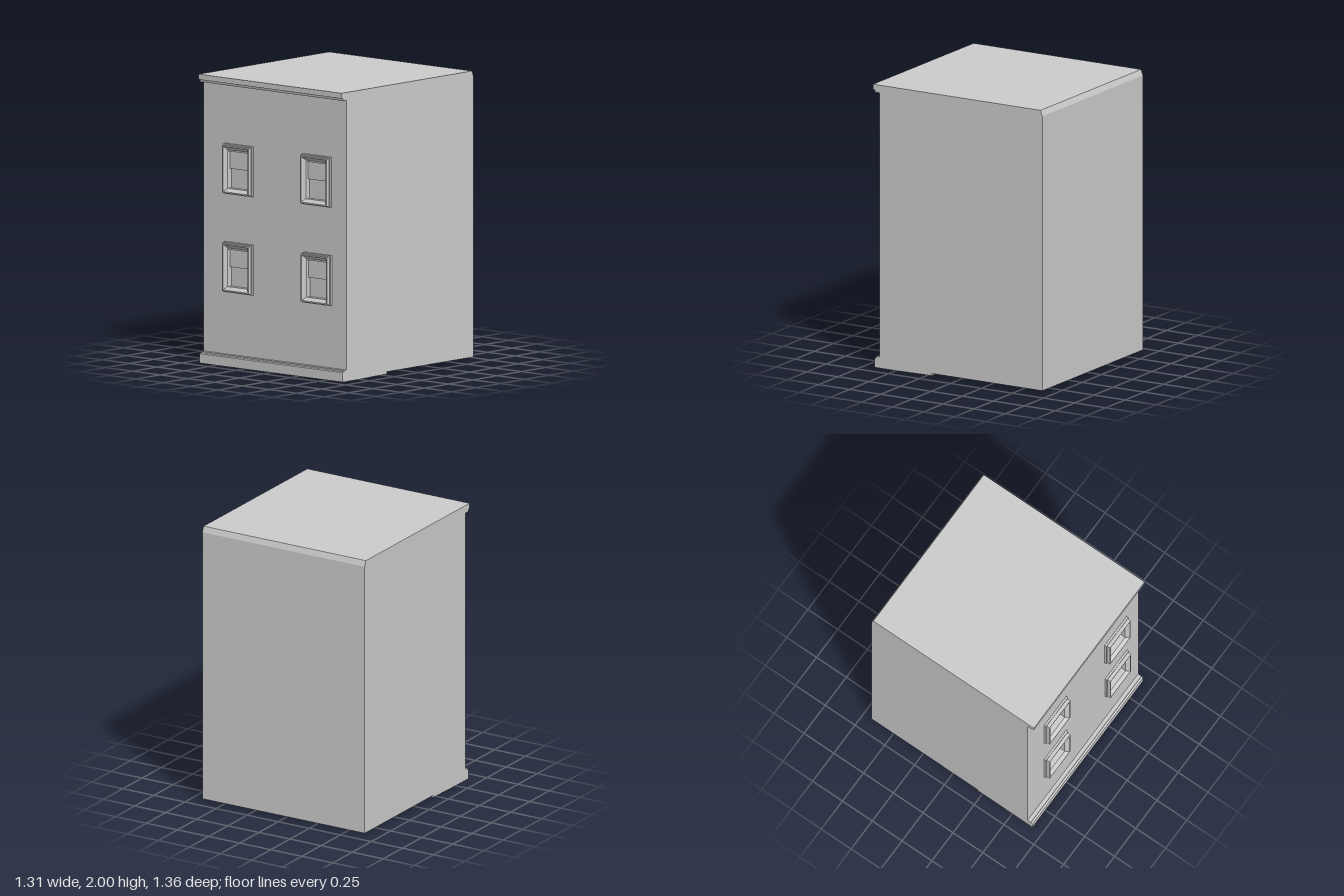
import * as THREE from 'three';

const W = 0.653;      // half width
const FRONT = 0.63;   // front wall plane
const BACK = -0.68;   // back wall plane
const mat = new THREE.MeshStandardMaterial({ color: 0xcccccc, flatShading: true, side: THREE.DoubleSide });

const shapeOf = pts => new THREE.Shape(pts.map(p => new THREE.Vector2(p[0], p[1])));

function add(parent, geo, name) {
  const mesh = new THREE.Mesh(geo, mat);
  mesh.name = name;
  parent.add(mesh);
  return mesh;
}

// solid with a constant (z, y) profile running across the full width
function acrossWidth(pts) {
  return new THREE.ExtrudeGeometry(shapeOf(pts), { depth: 2 * W, bevelEnabled: false })
    .translate(0, 0, -W)
    .rotateY(-Math.PI / 2);
}

// mitred rectangular moulding: profile is a list of [inset, z]
function frameRing(w, h, profile) {
  const pos = [], idx = [];
  for (const [inset, z] of profile) {
    const a = w / 2 - inset, b = h / 2 - inset;
    pos.push(-a, -b, z, a, -b, z, a, b, z, -a, b, z);
  }
  for (let i = 0; i < profile.length - 1; i++) {
    for (let j = 0; j < 4; j++) {
      const k = (j + 1) % 4;
      const p = i * 4 + j, q = i * 4 + k, r = p + 4, s = q + 4;
      idx.push(p, q, s, p, s, r);
    }
  }
  const geo = new THREE.BufferGeometry();
  geo.setAttribute('position', new THREE.Float32BufferAttribute(pos, 3));
  geo.setIndex(idx);
  const flat = geo.toNonIndexed();
  flat.computeVertexNormals();
  return flat;
}

const WIN_W = 0.262, WIN_H = 0.348, INSET = 0.04;

function makeWindow() {
  const g = new THREE.Group();
  g.name = 'window';
  // stepped casing with a sloped inner face and deep jambs
  add(g, frameRing(WIN_W, WIN_H, [
    [0, 0], [0, 0.015], [0.009, 0.015], [0.009, 0.04], [0.018, 0.04],
    [0.024, 0.03], [INSET, 0.015], [INSET, -0.035],
  ]), 'casing');
  const w = WIN_W - 2 * INSET, h = WIN_H - 2 * INSET;
  // stepped head under the casing
  add(g, new THREE.BoxGeometry(w, 0.012, 0.035).translate(0, h / 2 - 0.006, -0.008), 'head');
  // upper sash sits ahead of the lower sash
  add(g, new THREE.BoxGeometry(w, h / 2, 0.014).translate(0, h / 4, -0.014), 'upperSash');
  add(g, new THREE.BoxGeometry(w - 0.006, h / 2, 0.014).translate(0, -h / 4, -0.028), 'lowerSash');
  return g;
}

export function createModel() {
  const model = new THREE.Group();
  model.name = 'building';

  const centres = [[-0.328, 1.364], [0.385, 1.364], [-0.328, 0.684], [0.39, 0.684]];

  // front wall with an opening for each window
  const wall = shapeOf([[-W, 0.02], [W, 0.02], [W, 1.99], [-W, 1.99]]);
  const a = WIN_W / 2 - INSET, b = WIN_H / 2 - INSET;
  for (const [x, y] of centres) {
    wall.holes.push(new THREE.Path([[-a, -b], [-a, b], [a, b], [a, -b]]
      .map(([u, v]) => new THREE.Vector2(x + u, y + v))));
  }
  add(model, new THREE.ShapeGeometry(wall).translate(0, 0, FRONT), 'frontWall');

  for (const [x, y] of centres) {
    const win = makeWindow();
    win.position.set(x, y, FRONT);
    model.add(win);
  }

  // side walls, with the back top corner clipped
  for (const side of [-1, 1]) {
    const pts = [[BACK, 0.02], [FRONT, 0.02], [FRONT, 2], [-0.665, 2], [-0.67, 1.96], [BACK, 1.96]];
    const geo = new THREE.ShapeGeometry(shapeOf(pts)).rotateY(-Math.PI / 2);
    if (side > 0) geo.rotateY(Math.PI).scale(1, 1, -1);
    const mesh = add(model, geo, side > 0 ? 'leftWall' : 'rightWall');
    mesh.position.x = side * W;
  }

  // back wall
  add(model, new THREE.PlaneGeometry(2 * W, 1.94).rotateY(Math.PI).translate(0, 0.99, BACK), 'backWall');

  // roof slab with a sloped back edge
  add(model, acrossWidth([[BACK, 1.96], [FRONT, 1.96], [FRONT, 2], [-0.665, 2]]), 'roof');

  // cornice and plinth along the front
  add(model, acrossWidth([
    [FRONT, 1.945], [0.665, 1.945], [0.668, 1.96], [0.682, 1.963], [0.682, 2], [FRONT, 2],
  ]), 'cornice');
  add(model, acrossWidth([
    [FRONT, 0], [0.67, 0], [0.67, 0.065], [0.657, 0.07], [0.657, 0.08], [FRONT, 0.08],
  ]), 'plinth');

  // floor strip behind the plinth, rising slightly toward the back
  add(model, acrossWidth([
    [0.21, 0.004], [0.34, 0.003], [0.49, 0], [FRONT, 0], [FRONT, 0.02], [0.21, 0.02],
  ]), 'floorStrip');

  return model;
}
